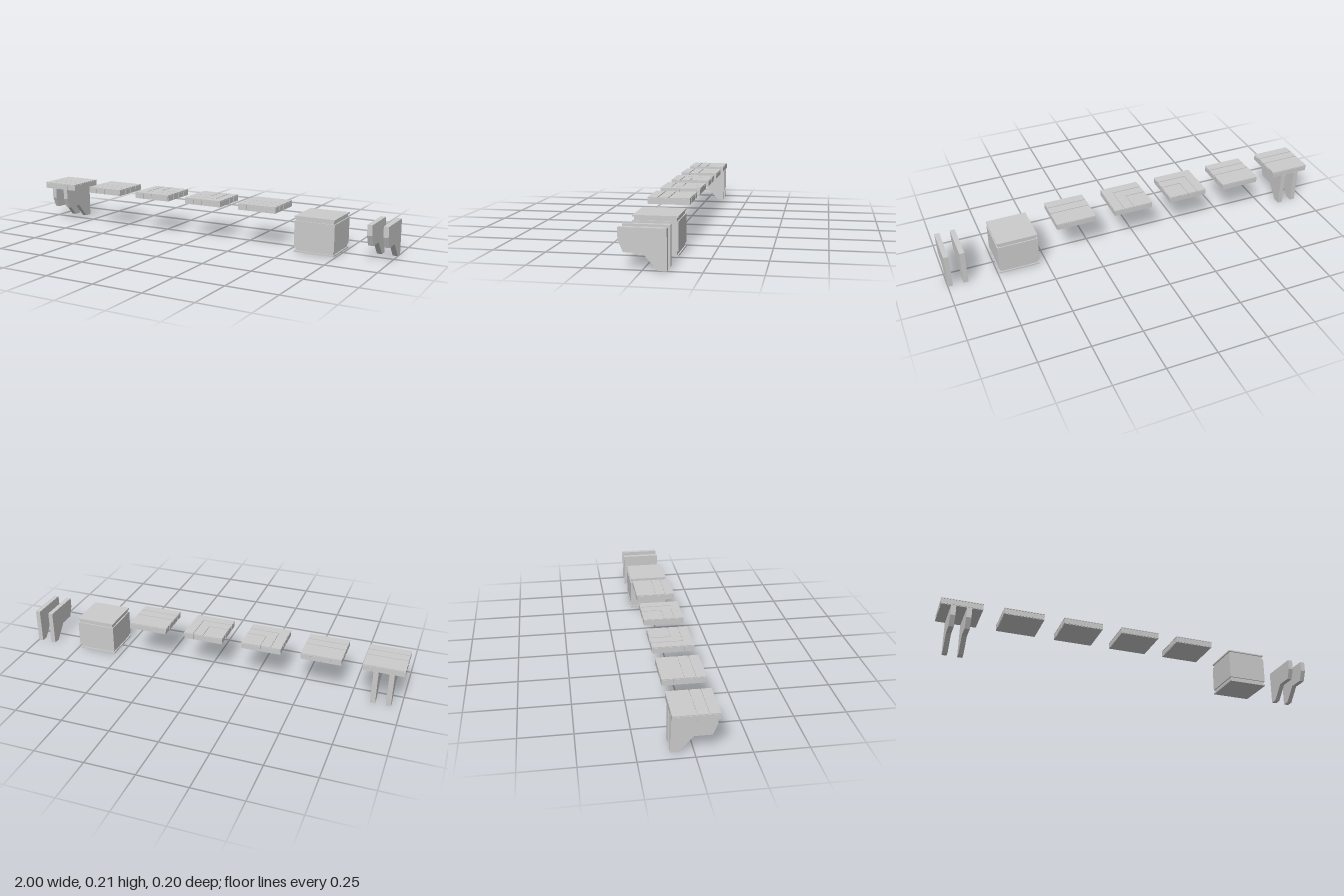
import * as THREE from 'three';

const S = 0.205, H = S / 2, BOTTOM = 0.177, TOP = 0.21, BED = 0.2065;
const material = new THREE.MeshStandardMaterial({ color: 0xcccccc, flatShading: true });

function add(parent, name, geometry, x = 0, y = 0, z = 0) {
  const mesh = new THREE.Mesh(geometry, material);
  mesh.name = name;
  mesh.position.set(x, y, z);
  parent.add(mesh);
  return mesh;
}

const box = (parent, name, w, h, d, x, y, z) =>
  add(parent, name, new THREE.BoxGeometry(w, h, d), x, y, z);

// Flat plate from a plan outline of [x, z] points
function plate(parent, name, points) {
  const shape = new THREE.Shape(points.map(([x, z]) => new THREE.Vector2(x, -z)));
  const geometry = new THREE.ExtrudeGeometry(shape, { depth: TOP - BED, bevelEnabled: false });
  geometry.rotateX(-Math.PI / 2);
  add(parent, name, geometry, 0, BED, 0);
}

// Pairs of [front, back] z bounds, separated by narrow grooves
const bands = [[H, 0.055], [0.05, 0.0025], [-0.0025, -H]];

function slab(name, x, corner = 0) {
  const group = new THREE.Group();
  group.name = name;
  group.position.x = x;
  const core = S - 0.004;
  box(group, 'slabCore', core, BED - BOTTOM, core, 0, (BED + BOTTOM) / 2, 0);

  // Row of edge blocks with narrow joints on all four sides
  for (let side = 0; side < 4; side++) {
    const row = new THREE.Group();
    row.name = 'edgeRow';
    row.rotation.y = side * Math.PI / 2;
    for (let i = 0; i < 4; i++) {
      box(row, 'edgeBlock', S / 4 - 0.004, 0.025, 0.004, (i - 1.5) * S / 4, 0.192, H - 0.002);
    }
    group.add(row);
  }

  // Paving: straight strips, or bands turning around a front corner
  bands.forEach(([front, back], i) => {
    if (!corner) {
      box(group, 'pavingStrip', S, TOP - BED, front - back, 0, (TOP + BED) / 2, (front + back) / 2);
    } else if (i === 2) {
      plate(group, 'innerPaving', [[-corner * H, front], [corner * front, front],
        [corner * front, -H], [-corner * H, -H]]);
    } else {
      plate(group, 'cornerStrip', [[-corner * H, front], [corner * front, front],
        [corner * front, -H], [corner * back, -H], [corner * back, back], [-corner * H, back]]);
    }
  });
  return group;
}

// Two upright supports with a stepped, slanted lower edge
function bracketPair(x) {
  const group = new THREE.Group();
  group.name = 'bracketPair';
  const outline = [[-H, 0], [-0.065, 0], [0, 0.073], [0.08, 0.073], [H, 0.125], [H, BOTTOM], [-H, BOTTOM]];
  const thick = 0.025;
  const shape = new THREE.Shape(outline.map(([z, y]) => new THREE.Vector2(-z, y)));
  const geometry = new THREE.ExtrudeGeometry(shape, { depth: thick, bevelEnabled: false });
  geometry.translate(0, 0, -thick / 2).rotateY(Math.PI / 2);
  for (const side of [-1, 1]) add(group, 'bracket', geometry, x + side * 0.0385, 0, 0);
  return group;
}

// Square block with a recessed neck below the cap and above the foot
function wallBlock(x) {
  const group = new THREE.Group();
  group.name = 'wallBlock';
  group.position.x = x;
  const levels = [[0, 0.007, S], [0.007, 0.024, S - 0.012], [0.024, 0.156, S],
    [0.156, 0.173, S - 0.012], [0.173, 0.18, S]];
  const names = ['foot', 'lowerNeck', 'body', 'upperNeck', 'cap'];
  levels.forEach(([y0, y1, w], i) => box(group, names[i], w, y1 - y0, w, 0, (y0 + y1) / 2, 0));
  return group;
}

export function createModel() {
  const model = new THREE.Group();
  model.name = 'balconyKit';
  model.add(
    slab('supportedSlab', -0.8975), bracketPair(-0.9),
    slab('straightSlab', -0.59),
    slab('leftCornerSlab', -0.283, -1),
    slab('rightCornerSlab', 0.024, 1),
    slab('endSlab', 0.331),
    wallBlock(0.638),
    bracketPair(0.949),
  );
  return model;
}
